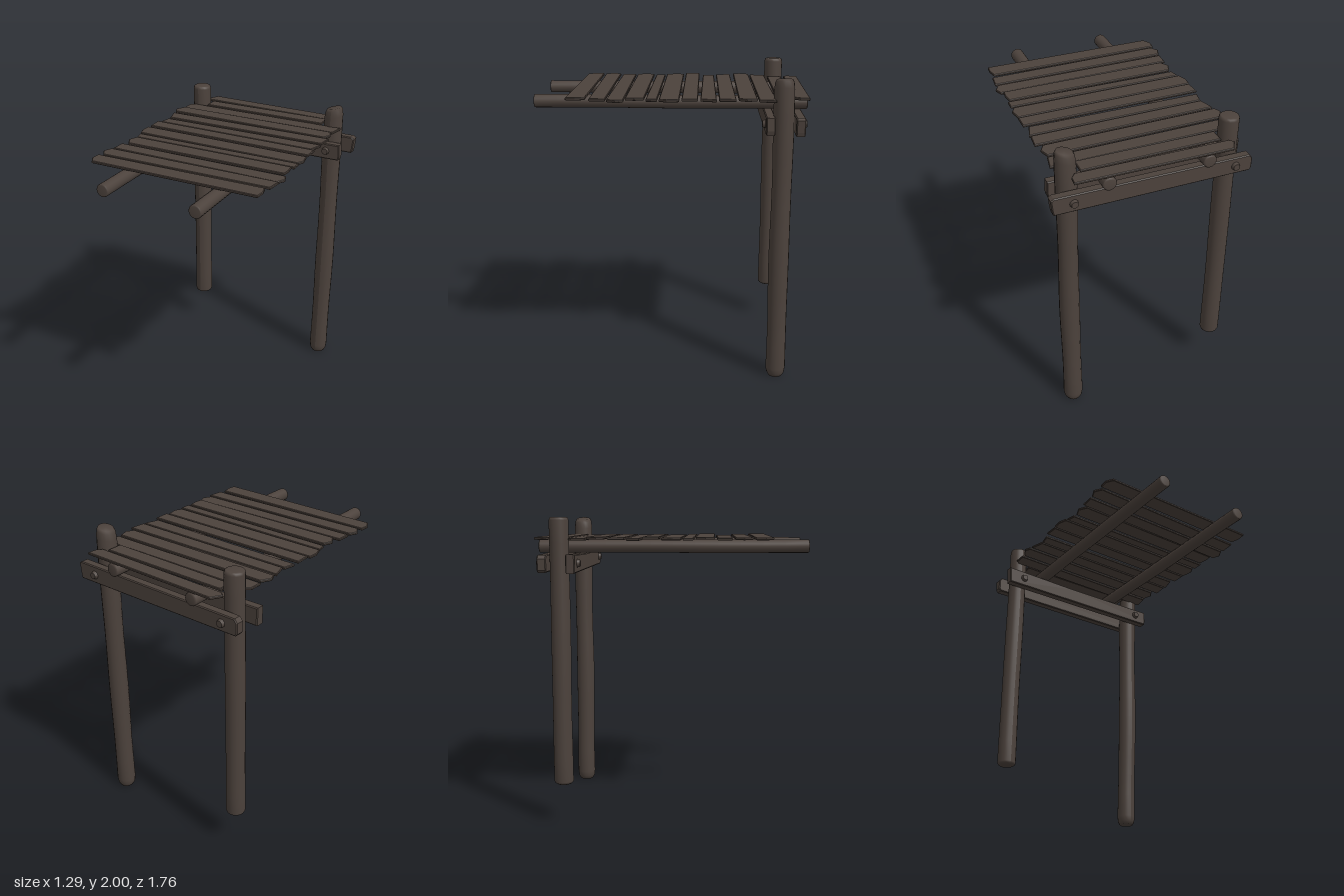
import * as THREE from 'three';

const wood = new THREE.MeshStandardMaterial({ color: 0x4c423c });
wood.name = 'dark weathered wood';

function add(group, name, geometry, x = 0, y = 0, z = 0) {
  const mesh = new THREE.Mesh(geometry, wood);
  mesh.name = name;
  mesh.position.set(x, y, z);
  group.add(mesh);
  return mesh;
}

// Round log along y from 0 to length, with softened ends and a slight hand-cut waviness
function logGeometry(length, r, wobble, round, seed) {
  const pts = [new THREE.Vector2(0, 0), new THREE.Vector2(r * 0.72, 0), new THREE.Vector2(r * 0.92, round * 0.4)];
  const n = 12;
  for (let i = 0; i <= n; i++) pts.push(new THREE.Vector2(r, round + (length - 2 * round) * i / n));
  pts.push(new THREE.Vector2(r * 0.93, length - round * 0.3), new THREE.Vector2(r * 0.78, length), new THREE.Vector2(0, length));
  const g = new THREE.LatheGeometry(pts, 16);
  const p = g.attributes.position;
  for (let i = 0; i < p.count; i++) {
    const y = p.getY(i);
    const s = 1 + wobble * Math.sin(y * 7 + seed);
    p.setX(i, p.getX(i) * s + r * wobble * Math.sin(y * 4 + seed * 2));
    p.setZ(i, p.getZ(i) * s + r * wobble * Math.cos(y * 5 + seed));
  }
  g.computeVertexNormals();
  return g;
}

// Flat outline extruded with a small bevel, overall depth t
function slab(points, t, bevel) {
  const shape = new THREE.Shape(points.map(([x, y]) => new THREE.Vector2(x, y)));
  const g = new THREE.ExtrudeGeometry(shape, {
    depth: t - 2 * bevel, bevelEnabled: true, bevelThickness: bevel, bevelSize: bevel, bevelOffset: -bevel, bevelSegments: 1,
  });
  return g.translate(0, 0, bevel - t / 2);
}

// Each plank: left end and right end, as [x, z] from back to front
const planks = [
  [[[-0.48, -0.88], [-0.52, -0.81], [-0.49, -0.785]], [[0.515, -0.87], [0.51, -0.81], [0.48, -0.775]]],
  [[[-0.455, -0.76], [-0.455, -0.665]], [[0.44, -0.77], [0.44, -0.665]]],
  [[[-0.555, -0.65], [-0.58, -0.63], [-0.58, -0.545]], [[0.585, -0.66], [0.565, -0.555]]],
  [[[-0.57, -0.535], [-0.605, -0.47], [-0.585, -0.425]], [[0.56, -0.545], [0.58, -0.48], [0.55, -0.43]]],
  [[[-0.585, -0.4], [-0.555, -0.3]], [[0.595, -0.415], [0.585, -0.31]]],
  [[[-0.56, -0.285], [-0.575, -0.205]], [[0.59, -0.295], [0.56, -0.195]]],
  [[[-0.585, -0.18], [-0.58, -0.08]], [[0.59, -0.18], [0.59, -0.08]]],
  [[[-0.59, -0.065], [-0.595, 0], [-0.575, 0.058]], [[0.585, -0.065], [0.6, 0.015], [0.575, 0.06]]],
  [[[-0.57, 0.07], [-0.555, 0.135]], [[0.59, 0.07], [0.59, 0.14]]],
  [[[-0.545, 0.15], [-0.57, 0.21], [-0.535, 0.27]], [[0.575, 0.15], [0.585, 0.21], [0.58, 0.267]]],
  [[[-0.575, 0.285], [-0.58, 0.38]], [[0.595, 0.277], [0.615, 0.327], [0.585, 0.383]]],
  [[[-0.58, 0.397], [-0.605, 0.453], [-0.57, 0.507]], [[0.6, 0.388], [0.59, 0.49]]],
  [[[-0.595, 0.523], [-0.6, 0.585], [-0.57, 0.636]], [[0.57, 0.515], [0.585, 0.575], [0.58, 0.636]]],
];

export function createModel() {
  const model = new THREE.Group();
  model.name = 'plankCanopy';

  // Upright posts, one shorter than the other
  add(model, 'rightPost', logGeometry(1.73, 0.063, 0.015, 0.02, 1), -0.525, 0.268, -0.712);
  const leftPost = logGeometry(2, 0.064, 0.03, 0.06, 2.2);
  const p = leftPost.attributes.position;
  for (let i = 0; i < p.count; i++) {
    const y = p.getY(i);
    p.setX(i, p.getX(i) + 0.005 * (y - 1));
    // slanted cut at the top
    if (y > 1.9) p.setY(i, y + (p.getX(i) - 0.06) * 0.22);
  }
  leftPost.computeVertexNormals();
  add(model, 'leftPost', leftPost, 0.508, 0, -0.712);

  // Pair of cross beams clamping the posts
  add(model, 'frontBeam', slab([[-0.64, 1.65], [0.6, 1.652], [0.607, 1.68], [0.603, 1.762], [-0.1, 1.758], [-0.645, 1.768]], 0.058, 0.006), 0, 0, -0.628);
  add(model, 'backBeam', slab([[-0.625, 1.655], [0.63, 1.652], [0.637, 1.68], [0.645, 1.755], [0.625, 1.768], [-0.62, 1.765], [-0.64, 1.74], [-0.638, 1.67]], 0.058, 0.006), 0, 0, -0.808);

  // Bolt heads on both beams, at each post
  for (const x of [-0.525, 0.507]) {
    for (const [z, dir, name] of [[-0.599, 1, 'frontBolt'], [-0.837, -1, 'backBolt']]) {
      const bolt = add(model, name, new THREE.CylinderGeometry(0.021, 0.028, 0.024, 12), x, 1.71, z + dir * 0.008);
      bolt.rotation.x = dir * Math.PI / 2;
    }
  }

  // Long round joists under the planks
  [-0.33, 0.303].forEach((x, i) => {
    const joist = add(model, 'joist', logGeometry(1.755, 0.043, 0.02, 0.008, i * 2), x, 1.812, -0.877);
    joist.rotation.x = Math.PI / 2;
  });

  // Roof planks with uneven ends and heights
  planks.forEach(([left, right], i) => {
    const outline = [...left, ...[...right].reverse()].map(([x, z]) => [x, -z]);
    const geometry = slab(outline, 0.017, 0.004);
    geometry.rotateX(-Math.PI / 2);
    const plank = add(model, 'plank', geometry, 0, 1.864 + 0.004 * Math.sin(i * 2.3), 0);
    plank.rotation.z = 0.003 * Math.sin(i * 1.7);
  });
  return model;
}
